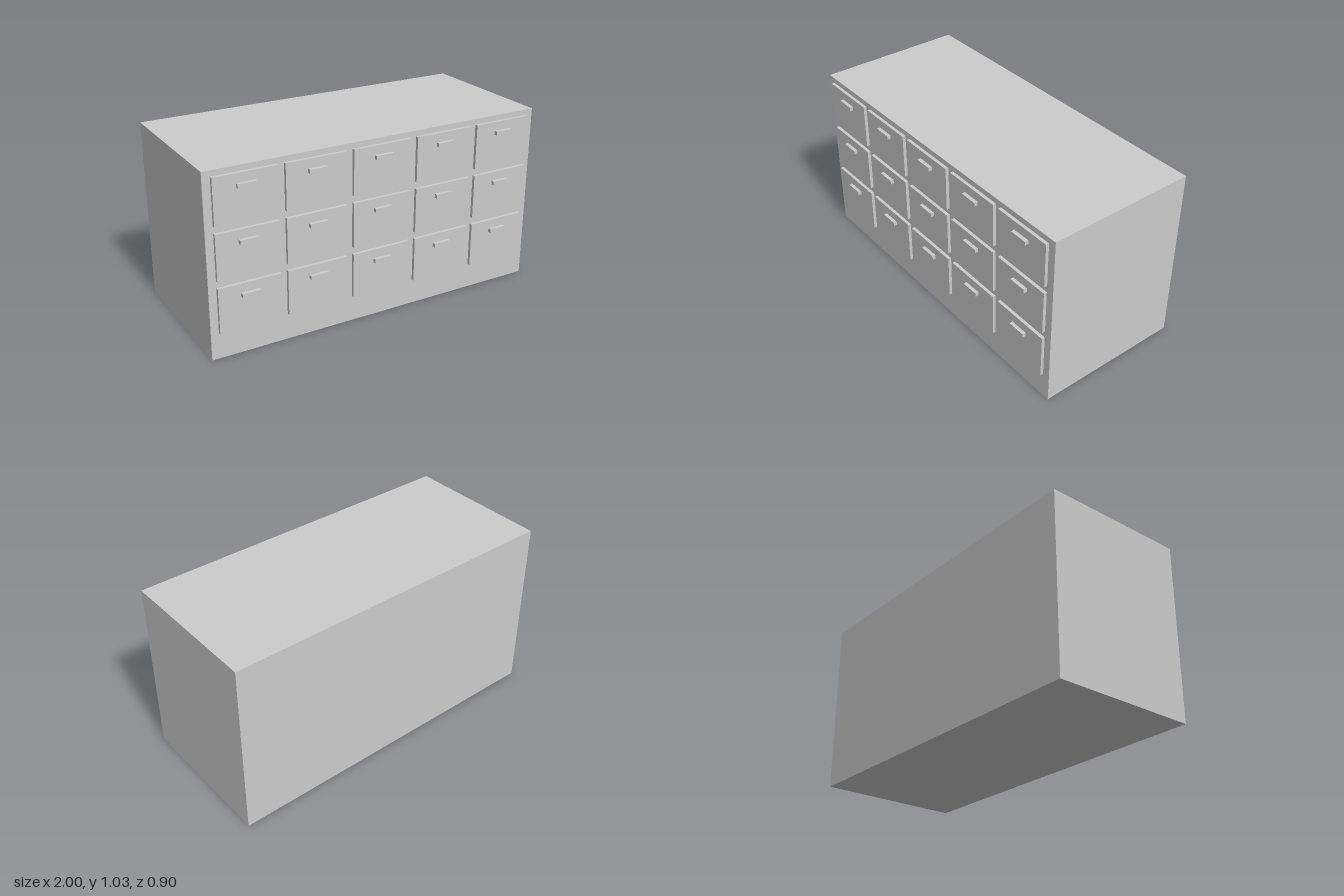
import * as THREE from 'three';

const material = new THREE.MeshStandardMaterial({ color: 0xcccccc, flatShading: true });

// Box given by its centre x and y, its back z, and its size
function addBox(parent, name, [w, h, d], x, y, backZ) {
  const mesh = new THREE.Mesh(new THREE.BoxGeometry(w, h, d), material);
  mesh.name = name;
  mesh.position.set(x, y, backZ + d / 2);
  parent.add(mesh);
}

export function createModel() {
  const model = new THREE.Group();
  model.name = 'drawerCabinet';

  const height = 1.029, back = -0.448, front = 0.41;
  const columns = 5, rows = 3, pitchX = 0.39, pitchY = 0.296;
  const panelDepth = 0.018, bottomRowY = 0.277, handleRise = 0.066;

  // Cabinet body
  addBox(model, 'cabinetBody', [2, height, front - back], 0, height / 2, back);

  // Grid of drawers, each a raised panel with a bar handle near its top
  for (let row = 0; row < rows; row++) {
    for (let col = 0; col < columns; col++) {
      const drawer = new THREE.Group();
      drawer.name = `drawerRow${row + 1}Column${col + 1}`;
      drawer.position.set((col - (columns - 1) / 2) * pitchX, bottomRowY + row * pitchY, front);
      addBox(drawer, 'drawerFront', [0.351, 0.256, panelDepth], 0, 0, 0);
      addBox(drawer, 'drawerHandle', [0.104, 0.022, 0.02], 0, handleRise, panelDepth);
      model.add(drawer);
    }
  }
  return model;
}
